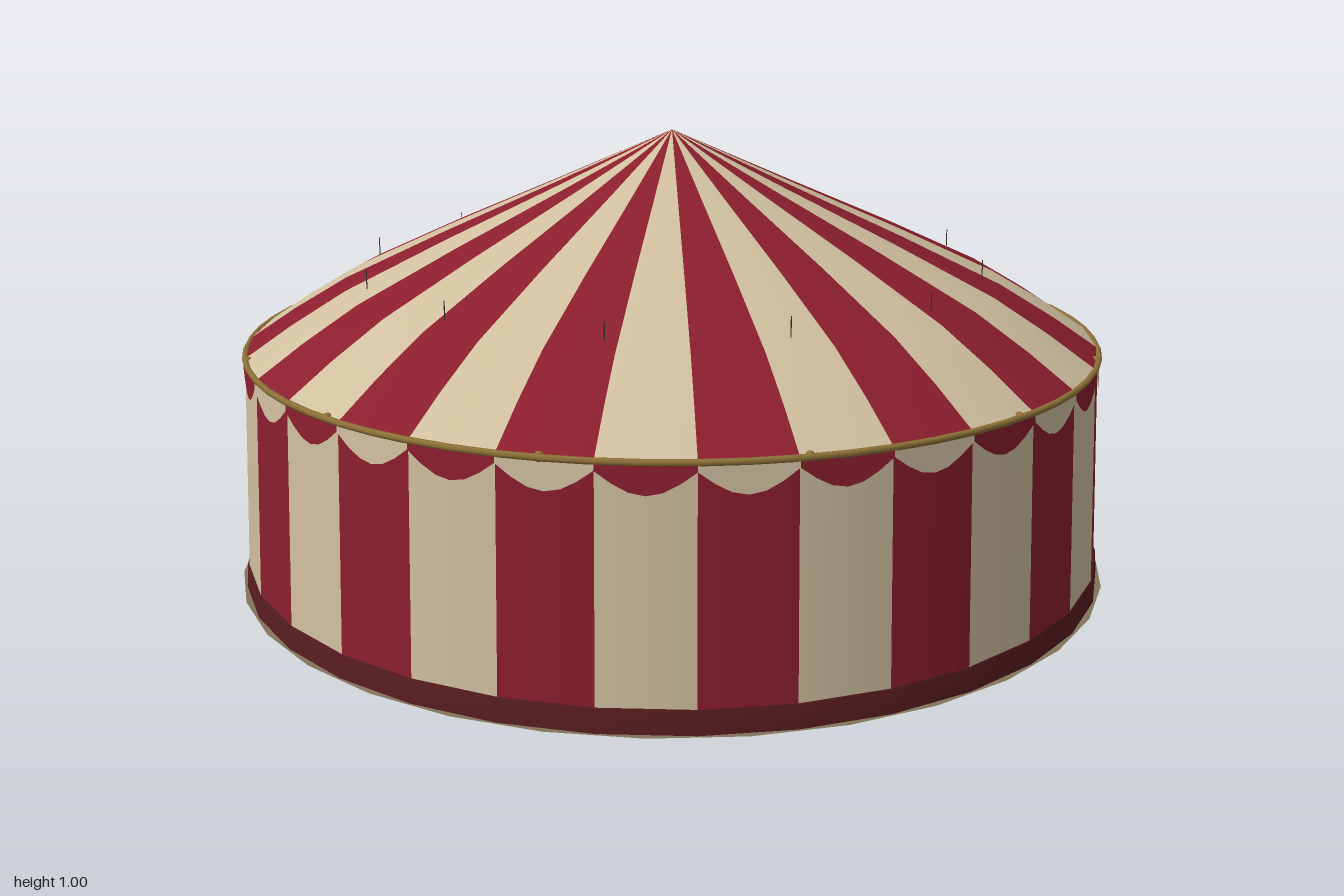
import * as THREE from 'three';
import { mergeGeometries } from 'three/addons/utils/BufferGeometryUtils.js';

const SIDES = 32;
const STEP = (Math.PI * 2) / SIDES;

function material(name, color, side = THREE.FrontSide) {
  const m = new THREE.MeshStandardMaterial({ color, side });
  m.name = name;
  return m;
}

// One gore of the canvas, turned from a profile given bottom to top
function gore(profile, i) {
  const points = profile.map(([r, y]) => new THREE.Vector2(r, y));
  return new THREE.LatheGeometry(points, 1, i * STEP, STEP);
}

// One scallop hanging flat against a wall panel
function scallop(i) {
  const g = new THREE.PlaneGeometry(1, 1, 6, 1);
  const p = g.attributes.position;
  const a0 = i * STEP, a1 = a0 + STEP;
  for (let k = 0; k < p.count; k++) {
    const t = p.getX(k) + 0.5;
    const down = p.getY(k) > 0 ? 0 : 0.012 + 0.046 * Math.sin(Math.PI * t);
    const r = 0.966 + down * 0.06;
    p.setXYZ(k,
      r * THREE.MathUtils.lerp(Math.sin(a0), Math.sin(a1), t),
      0.522 - down,
      r * THREE.MathUtils.lerp(Math.cos(a0), Math.cos(a1), t));
  }
  g.computeVertexNormals();
  return g;
}

export function createModel() {
  const group = new THREE.Group();
  const red = material('red canvas', 0x8b1e2d, THREE.DoubleSide);
  const cream = material('cream canvas', 0xd0bf9f, THREE.DoubleSide);
  const darkRed = material('dark red hem', 0x571c20);
  const gold = material('gold trim', 0x8f7238);
  const ground = material('brown floor', 0x83745a, THREE.DoubleSide);
  const iron = material('dark pins', 0x3a332c);

  const add = (name, geometry, mat) => {
    const mesh = new THREE.Mesh(geometry, mat);
    mesh.name = name;
    group.add(mesh);
    return mesh;
  };

  const roof = [[0.965, 0.527], [0.86, 0.597], [0.74, 0.668], [0.52, 0.77], [0.26, 0.884], [0, 1]];
  const wall = [[0.979, 0.045], [0.962, 0.527]];

  // Alternating striped roof, walls and contrasting scallops
  const panels = (build, parity) => mergeGeometries(
    Array.from({ length: SIDES / 2 }, (_, k) => build(2 * k + parity)));
  [red, cream].forEach((mat, parity) => {
    const tint = parity ? 'Cream' : 'Red';
    add('roof' + tint, panels(i => gore(roof, i), parity), mat);
    add('wall' + tint, panels(i => gore(wall, i), parity), mat);
    add('valance' + tint, panels(scallop, 1 - parity), mat);
  });

  // Hem around the foot of the wall
  add('hem', new THREE.LatheGeometry([
    new THREE.Vector2(0.986, 0), new THREE.Vector2(0.983, 0.05), new THREE.Vector2(0.977, 0.05),
  ], SIDES), darkRed);

  // Flat floor reaching just past the hem
  const floor = add('floor', new THREE.CircleGeometry(0.996, SIDES, STEP / 2), ground);
  floor.rotation.x = Math.PI / 2;

  // Rope along the eaves
  const rope = add('eaveRope', new THREE.TorusGeometry(0.962, 0.007, 6, SIDES * 2), gold);
  rope.rotation.x = Math.PI / 2;
  rope.position.y = 0.527;

  // Beads on the rope
  for (let k = 0; k < 12; k++) {
    const a = THREE.MathUtils.degToRad(5 + 30 * k);
    const bead = add('ropeBead', new THREE.SphereGeometry(0.011, 8, 6), gold);
    bead.position.set(0.956 * Math.sin(a), 0.527, 0.956 * Math.cos(a));
  }

  // Fine pins standing on the roof
  for (let k = 0; k < 12; k++) {
    const a = THREE.MathUtils.degToRad(9 + 30 * k);
    const pin = add('roofPin', new THREE.CylinderGeometry(0.0012, 0.0012, 0.045, 5), iron);
    pin.position.set(0.7 * Math.sin(a), 0.705, 0.7 * Math.cos(a));
  }

  return group;
}
